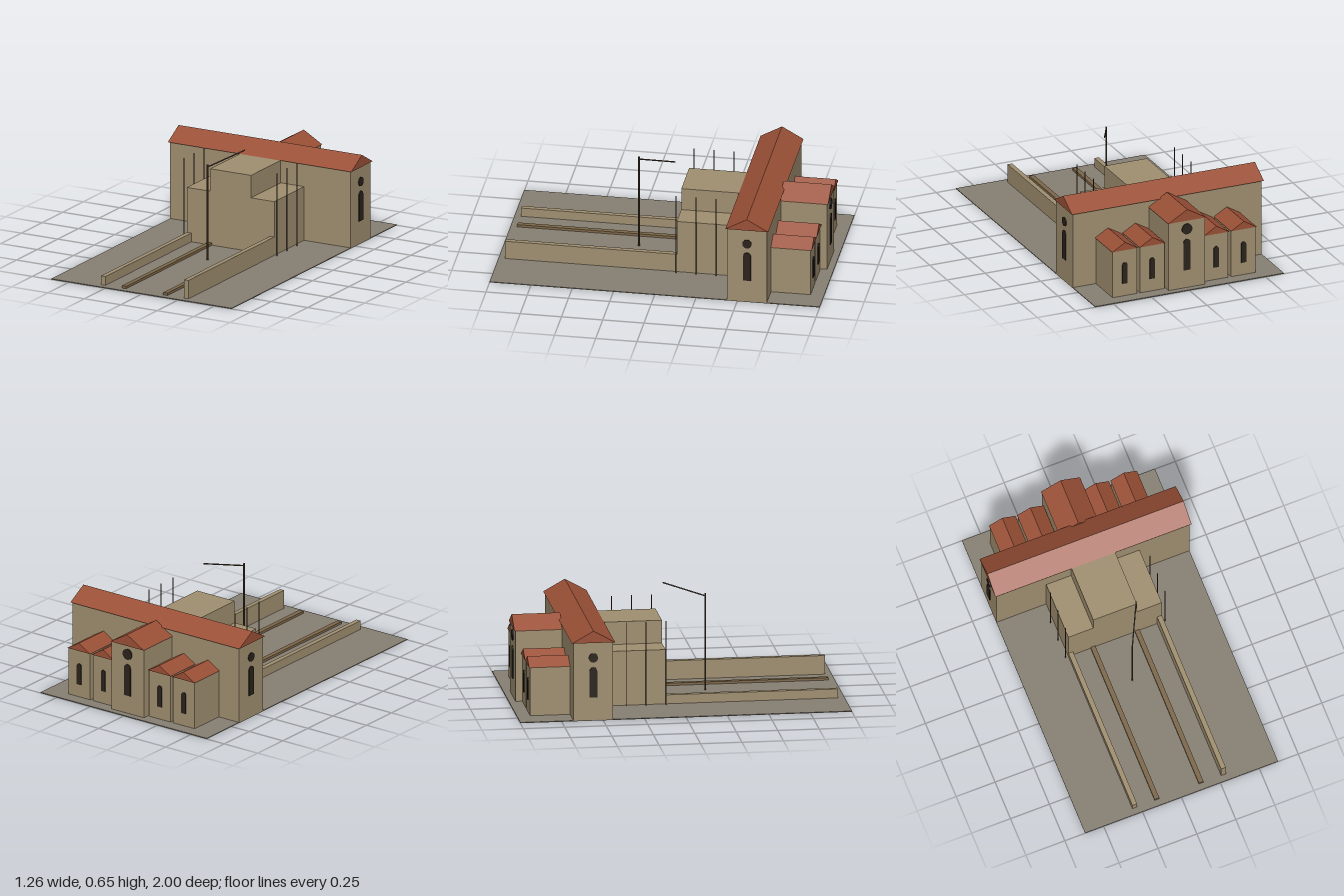
import * as THREE from 'three';

const mat = (color) => new THREE.MeshStandardMaterial({ color, flatShading: true });

export function createModel() {
  const model = new THREE.Group();
  model.name = 'churchUnderConstruction';
  const stone = mat(0xa08f70), roofTile = mat(0x9a5036), dark = mat(0x2b231c);
  const earth = mat(0x877f72), timber = mat(0x7d6749), wood = mat(0x4a3a2a);

  const add = (name, geometry, material, parent = model) => {
    const mesh = new THREE.Mesh(geometry, material);
    mesh.name = name;
    parent.add(mesh);
    return mesh;
  };

  // Box given by its limits on each axis
  const box = (name, x0, x1, y0, y1, z0, z1, material, parent) =>
    add(name, new THREE.BoxGeometry(x1 - x0, y1 - y0, z1 - z0), material, parent)
      .position.set((x0 + x1) / 2, (y0 + y1) / 2, (z0 + z1) / 2);

  // Gable prism with its ridge along z, starting at z = 0
  const gable = (half, height, length) => new THREE.ExtrudeGeometry(
    new THREE.Shape([[-half, 0], [half, 0], [0, height]].map((p) => new THREE.Vector2(...p))),
    { depth: length, bevelEnabled: false });

  // Thin round-headed window panel facing +z, standing on y = 0
  const archWindow = (width, height) => {
    const r = width / 2, s = new THREE.Shape();
    s.moveTo(-r, 0);
    s.lineTo(r, 0);
    s.lineTo(r, height - r);
    s.absarc(0, height - r, r, 0, Math.PI, false);
    s.closePath();
    return new THREE.ExtrudeGeometry(s, { depth: 0.008, bevelEnabled: false, curveSegments: 8 });
  };
  const roundWindow = (r) => new THREE.CylinderGeometry(r, r, 0.008, 20)
    .rotateX(Math.PI / 2).translate(0, 0, 0.004);

  // Ground
  box('ground', -0.62, 0.62, 0, 0.005, -1, 1, earth);

  // Transept with its long roof
  box('transept', -0.62, 0.62, 0, 0.48, -0.68, -0.44, stone);
  const roof = add('transeptRoof', gable(0.13, 0.073, 1.26), roofTile);
  roof.rotation.y = Math.PI / 2;
  roof.position.set(-0.63, 0.482, -0.56);

  // Unfinished nave and aisles
  box('nave', -0.14, 0.14, 0, 0.48, -0.44, -0.08, stone);
  for (const s of [-1, 1]) {
    const side = s > 0 ? 'left' : 'right';
    box(side + 'Aisle', s > 0 ? 0.14 : -0.3, s > 0 ? 0.3 : -0.14, 0, 0.34, -0.44, -0.08, stone);

    // Windows on the transept end
    const end = new THREE.Group();
    end.name = side + 'TranseptWindows';
    end.position.set(s * 0.618, 0, -0.56);
    end.rotation.y = s * Math.PI / 2;
    model.add(end);
    add('archWindow', archWindow(0.046, 0.185), dark, end).position.y = 0.145;
    add('roundWindow', roundWindow(0.028), dark, end).position.y = 0.388;

    // Started outer walls and low pier foundations
    const outer = s * 0.285, inner = s * 0.142;
    box(side + 'StartedWall', outer - 0.015, outer + 0.015, 0, s > 0 ? 0.12 : 0.06, -0.08, 0.96, stone);
    box(side + 'Foundation', inner - 0.015, inner + 0.015, 0, 0.02, -0.08, 0.96, timber);

    // Scaffold poles
    for (const z of [-0.08, -0.2, -0.32]) {
      add(side + 'ScaffoldPole', new THREE.CylinderGeometry(0.003, 0.003, 0.52, 6), wood)
        .position.set(s * 0.32, 0.26, z);
    }
  }

  // Chapels along the back: body, gable roof and window
  const chapel = (name, x, half, wallTop, rise, back, windowY, windowW, windowH) => {
    const g = new THREE.Group();
    g.name = name;
    g.position.x = x;
    model.add(g);
    box('walls', -half, half, 0, wallTop, back, -0.68, stone, g);
    add('roof', gable(half + 0.005, rise, -0.675 - back + 0.007), roofTile, g)
      .position.set(0, wallTop, back - 0.007);
    const w = add('archWindow', archWindow(windowW, windowH), dark, g);
    w.rotation.y = Math.PI;
    w.position.set(0, windowY, back + 0.002);
    return g;
  };
  const apse = chapel('mainApse', 0, 0.12, 0.44, 0.073, -0.96, 0.12, 0.046, 0.2);
  const rose = add('roundWindow', roundWindow(0.034), dark, apse);
  rose.rotation.y = Math.PI;
  rose.position.set(0, 0.385, -0.958);
  for (const x of [-0.39, -0.21, 0.21, 0.39]) {
    chapel('sideChapel', x, 0.08, 0.302, 0.05, -0.92, 0.085, 0.032, 0.135);
  }

  // Lifting crane: mast and slanting arm
  add('craneMast', new THREE.CylinderGeometry(0.005, 0.005, 0.6, 8), wood).position.set(0, 0.3, 0.2);
  const a = new THREE.Vector3(0, 0.585, 0.2), b = new THREE.Vector3(0.12, 0.645, 0.04 - 0.08);
  const arm = add('craneArm', new THREE.CylinderGeometry(0.004, 0.004, a.distanceTo(b), 8), wood);
  arm.position.lerpVectors(a, b, 0.5);
  arm.quaternion.setFromUnitVectors(new THREE.Vector3(0, 1, 0), b.clone().sub(a).normalize());

  return model;
}
